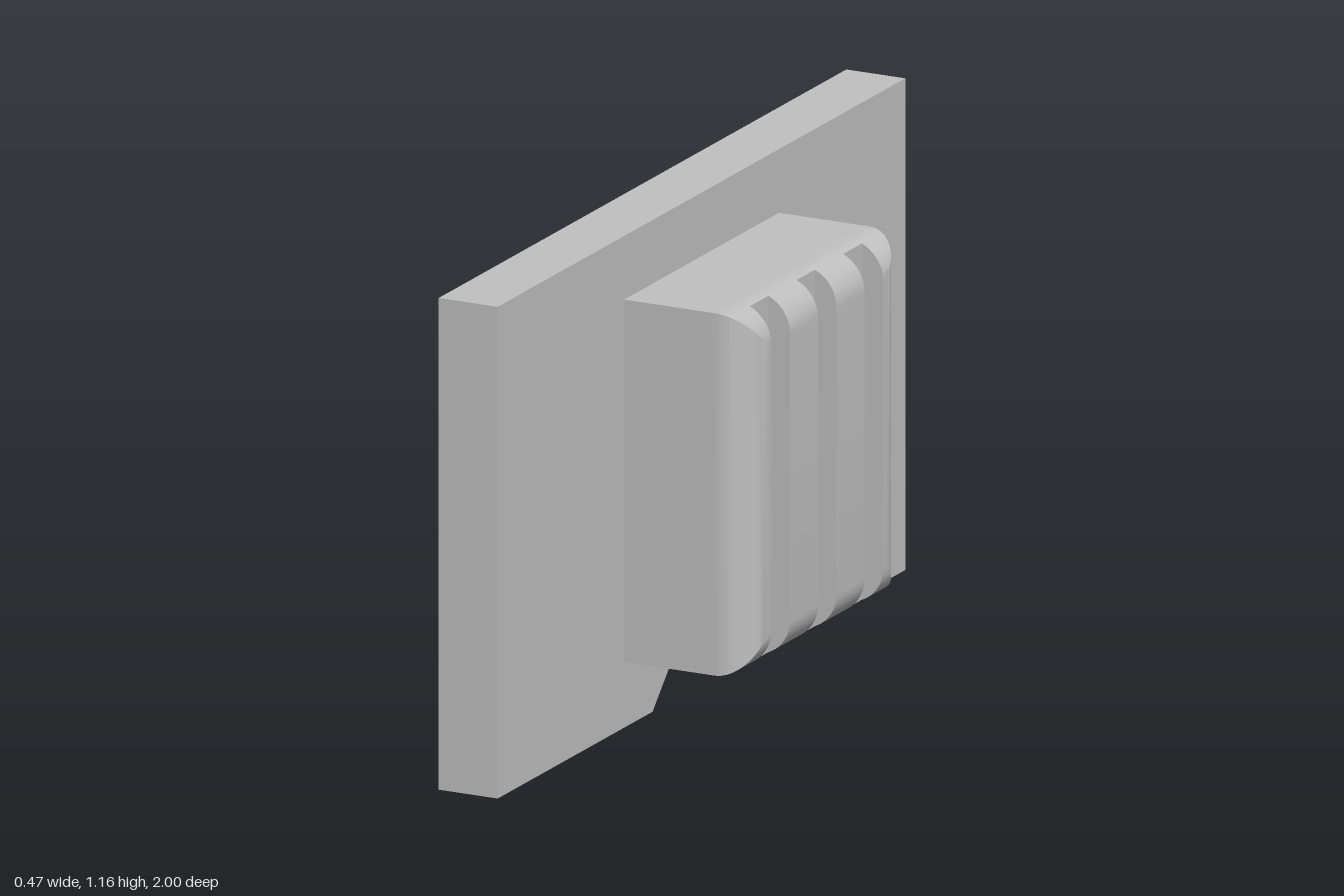
import * as THREE from 'three';
import { toCreasedNormals } from 'three/addons/utils/BufferGeometryUtils.js';

const grey = new THREE.MeshStandardMaterial({ color: 0xc0c0c0 });
grey.name = 'grey';

const PLATE_BACK = -0.235, PLATE_FRONT = -0.085;
const POCKET = 0.09, GROOVE = 0.18, FACE = 0.235;   // x depths
const BOTTOM = 0.155, TOP = 1.01, HALF = 0.38, R = 0.09;
const SLOT = 0.15, SLOT_TOP = 0.97;

// Slab with a slot open at the bottom, drawn in (z, y) and extruded along x
function slottedSlab(half, y0, y1, chamfer, x0, x1) {
  const pts = [[-half, y0], [-SLOT - chamfer, y0]];
  if (chamfer) pts.push([-SLOT, y0 + chamfer]);
  pts.push([-SLOT, SLOT_TOP], [SLOT, SLOT_TOP]);
  if (chamfer) pts.push([SLOT, y0 + chamfer]);
  pts.push([SLOT + chamfer, y0], [half, y0], [half, y1], [-half, y1]);
  const shape = new THREE.Shape(pts.map(p => new THREE.Vector2(...p)));
  return new THREE.ExtrudeGeometry(shape, { depth: x1 - x0, bevelEnabled: false })
    .rotateY(Math.PI / 2).translate(x0, 0, 0);
}

// Stack of rectangles along x whose outer edges follow a quarter round
function roundedLoft(levels, z0, z1, round0, round1) {
  const pos = [], idx = [];
  for (const [x, inset] of levels) {
    const a = z0 + (round0 ? inset : 0), b = z1 - (round1 ? inset : 0);
    const lo = BOTTOM + inset, hi = TOP - inset;
    pos.push(x, lo, a, x, hi, a, x, hi, b, x, lo, b);
  }
  const last = (levels.length - 1) * 4;
  for (let i = 0; i < last; i += 4) {
    for (let j = 0; j < 4; j++) {
      const k = (j + 1) % 4;
      idx.push(i + j, i + k, i + 4 + k, i + j, i + 4 + k, i + 4 + j);
    }
  }
  idx.push(last, last + 1, last + 2, last, last + 2, last + 3);
  const geo = new THREE.BufferGeometry();
  geo.setAttribute('position', new THREE.Float32BufferAttribute(pos, 3));
  geo.setIndex(idx);
  return toCreasedNormals(geo, 0.35);
}

// Levels [x, inset] along the quarter round between two angles
function arc(from, to, steps) {
  return Array.from({ length: steps + 1 }, (_, i) => {
    const t = from + (to - from) * i / steps;
    return [FACE - R + R * Math.sin(t), R * (1 - Math.cos(t))];
  });
}

export function createModel() {
  const group = new THREE.Group();
  const add = (name, geometry) => {
    const mesh = new THREE.Mesh(geometry, grey);
    mesh.name = name;
    group.add(mesh);
  };

  // Flat plate with a flared slot
  add('plate', slottedSlab(1, 0, 1.16, 0.09, PLATE_BACK, PLATE_FRONT));

  // Block: hollow rear part, solid core up to the groove floors
  add('blockRear', slottedSlab(HALF, BOTTOM, TOP, 0, PLATE_FRONT, POCKET));
  const split = Math.asin((GROOVE - FACE + R) / R);
  add('blockCore', roundedLoft([[POCKET, 0], ...arc(0, split, 4)], -HALF, HALF, true, true));

  // Four raised ribs separated by three grooves
  const ribLevels = arc(split, Math.PI / 2, 10);
  for (const s of [-1, 1]) {
    const side = s < 0 ? 'right' : 'left';
    const rib = (a, b, outer) => roundedLoft(ribLevels,
      Math.min(s * a, s * b), Math.max(s * a, s * b), outer && s < 0, outer && s > 0);
    add(side + 'InnerRib', rib(0.045, 0.183, false));
    add(side + 'OuterRib', rib(0.275, HALF, true));
  }
  return group;
}
